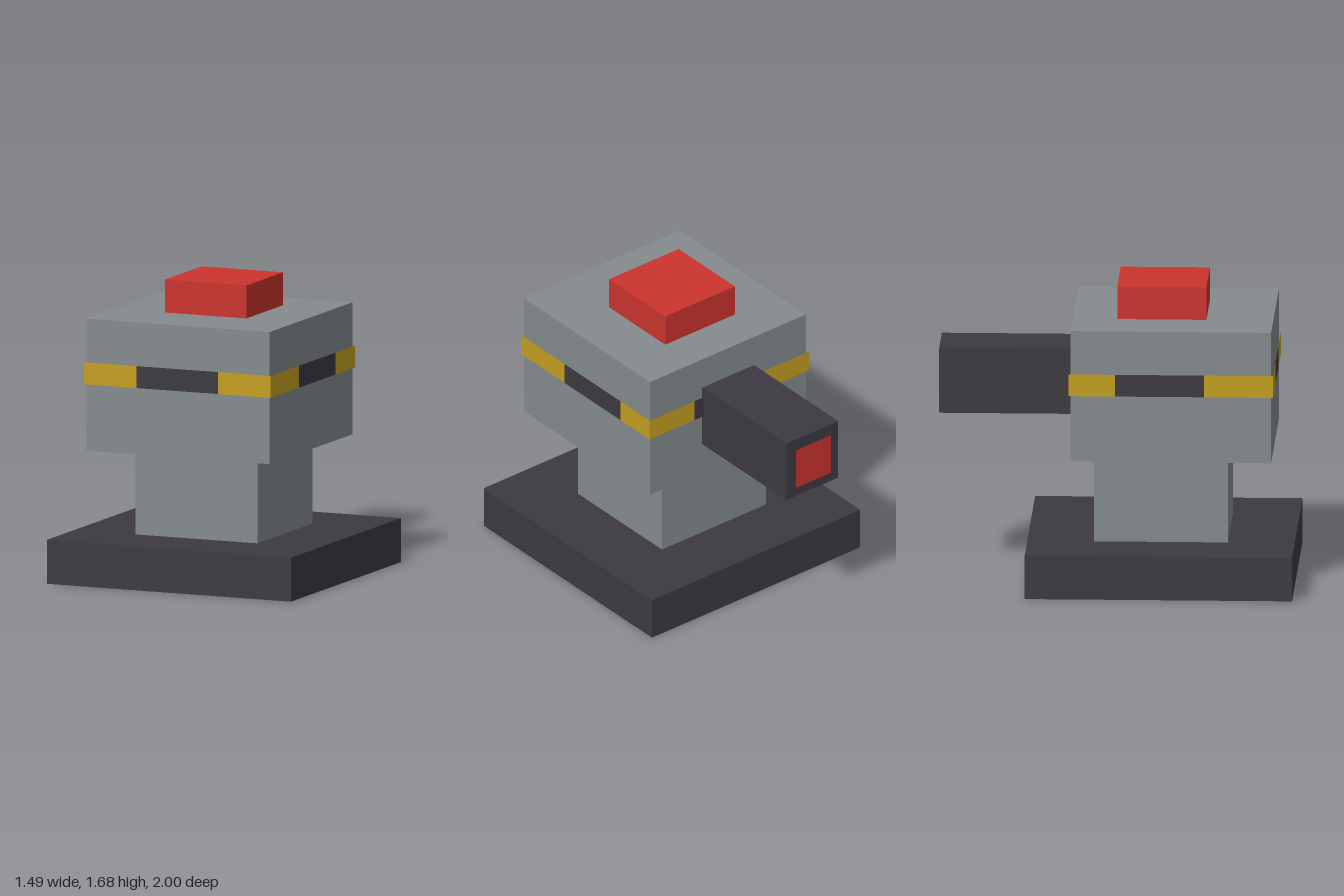
import * as THREE from 'three';

const material = (name, color) => {
  const m = new THREE.MeshStandardMaterial({ color });
  m.name = name;
  return m;
};

export function createModel() {
  const grey = material('grey', 0x858b8e);
  const dark = material('dark', 0x3c3a40);
  const red = material('red', 0xcb342d);
  const gold = material('gold', 0xc49f20);

  const model = new THREE.Group();
  model.name = 'turret';

  // Box standing on height y, centred on x = 0
  const block = (name, mat, w, h, d, y, z) => {
    const mesh = new THREE.Mesh(new THREE.BoxGeometry(w, h, d), mat);
    mesh.name = name;
    mesh.position.set(0, y + h / 2, z);
    model.add(mesh);
  };

  const towerZ = 0.255, headZ = 0.317;
  block('base', dark, 1.49, 0.248, 1.49, 0, towerZ);
  block('pillar', grey, 0.745, 0.497, 0.745, 0.248, towerZ);
  block('head', grey, 1.118, 0.745, 1.118, 0.745, headZ);
  block('topButton', red, 0.497, 0.186, 0.497, 1.49, towerZ);
  block('barrel', dark, 0.372, 0.372, 0.746, 0.932, -0.615);

  // Flat painted panel facing +z
  const panel = (parent, name, mat, w, h, x, y, z) => {
    const mesh = new THREE.Mesh(new THREE.PlaneGeometry(w, h), mat);
    mesh.name = name;
    mesh.position.set(x, y, z);
    parent.add(mesh);
  };

  // Striped band, one strip per side; the side strips' dark middle
  // lines up with the tower rather than with the head
  const half = 0.57, mid = 0.248;
  for (let i = 0; i < 4; i++) {
    const strip = new THREE.Group();
    strip.name = 'bandSide' + (i + 1);
    strip.position.set(0, 1.183, headZ);
    strip.rotation.y = i * Math.PI / 2;
    const shift = [0, headZ - towerZ, 0, towerZ - headZ][i];
    const a = shift - mid, b = shift + mid;
    panel(strip, 'bandEnd', gold, a + half, 0.124, (a - half) / 2, 0, half);
    panel(strip, 'bandMiddle', dark, b - a, 0.124, shift, 0, half);
    panel(strip, 'bandEnd', gold, half - b, 0.124, (b + half) / 2, 0, half);
    model.add(strip);
  }

  // Red muzzle at the rear end of the barrel
  const muzzle = new THREE.Group();
  muzzle.name = 'muzzle';
  muzzle.rotation.y = Math.PI;
  panel(muzzle, 'muzzlePlate', red, 0.248, 0.248, 0, 1.118, 1);
  model.add(muzzle);

  return model;
}
